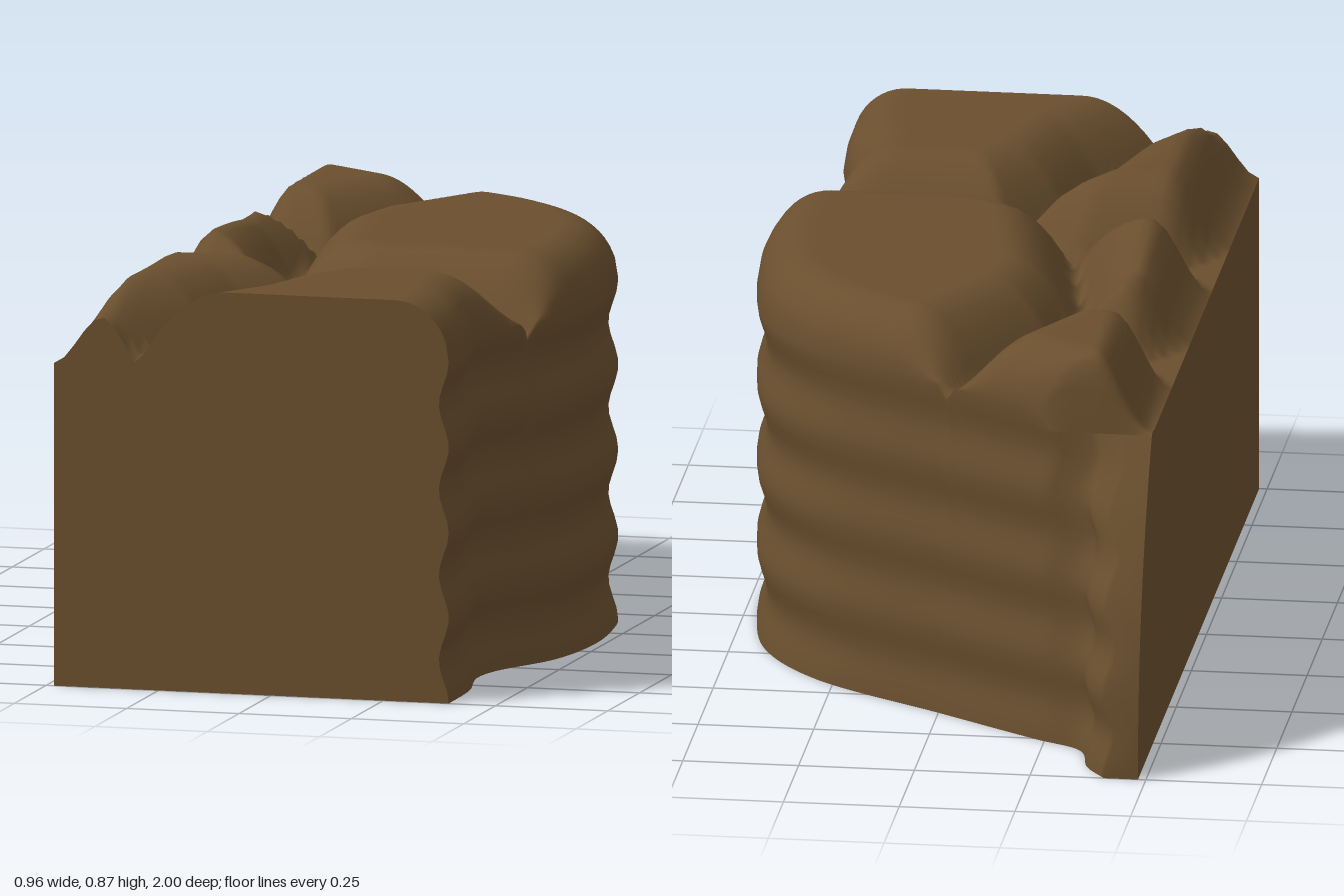
import * as THREE from 'three';

const LEFT = -0.483, TIP = -0.77, ROWS = 150, WALL = 30, TOP = 48;

// Plan outline of the weathered side, as (x, z) from the back tip to the front
const outline = new THREE.CatmullRomCurve3([
  [-0.42, -1], [-0.375, -0.93], [-0.345, -0.82], [-0.24, -0.755], [-0.02, -0.61], [0.28, -0.41],
  [0.41, -0.23], [0.46, 0], [0.468, 0.2], [0.44, 0.38], [0.365, 0.55], [0.35, 0.65],
  [0.38, 0.82], [0.385, 1],
].map(([x, z]) => new THREE.Vector3(x, 0, z)), false, 'centripetal');

// Cracks between the top boulders, as (x, z) polylines
const cracks = [
  [[0.03, -0.7], [-0.07, -0.55], [-0.22, -0.28], [-0.25, -0.1], [-0.17, 0.33], [-0.02, 0.44], [0.5, 0.45]],
  [[-0.02, 0.44], [-0.13, 0.62], [-0.18, 0.8], [-0.3, 1]],
  [[-0.5, -0.3], [-0.22, -0.28]],
  [[-0.5, 0.36], [-0.17, 0.33]],
];

function segmentDistance(x, z, [ax, az], [bx, bz]) {
  const dx = bx - ax, dz = bz - az;
  const t = THREE.MathUtils.clamp(((x - ax) * dx + (z - az) * dz) / (dx * dx + dz * dz), 0, 1);
  return Math.hypot(x - ax - t * dx, z - az - t * dz);
}

// Height of the boulder tops, lowered along the cracks and the left edge
function topHeight(x, z) {
  let d = 1;
  for (const line of cracks) {
    for (let i = 1; i < line.length; i++) d = Math.min(d, segmentDistance(x, z, line[i - 1], line[i]));
  }
  const crack = Math.max(0, 1 - d / 0.17) ** 2;
  const edge = 1 - THREE.MathUtils.smoothstep(x, LEFT, LEFT + 0.13);
  return 0.87 - 0.17 * Math.min(1, crack + edge);
}

// The back tip leans inward with height
function lean(z, y) {
  return z < TIP ? z + (TIP - z) * Math.min(1, (y / 0.7) ** 2.2) : z;
}

// One cross-section: up the rippled wall, then over the top to the left edge
function section(u, tip) {
  const p = outline.getPointAt(u), slope = Math.abs(outline.getTangentAt(u).z);
  const wallX = (y) => (tip ? LEFT : p.x + 0.011 * Math.cos(y * Math.PI * 2 / 0.185));
  const fromTip = Math.max(0, p.z - TIP);
  const yEdge = Math.min(0.74, topHeight(p.x, p.z), 0.7 + fromTip);
  const pts = [];
  for (let j = 0; j <= WALL; j++) {
    const y = yEdge * j / WALL;
    pts.push(new THREE.Vector3(wallX(y), y, lean(p.z, y)));
  }
  const x0 = wallX(yEdge), z = lean(p.z, yEdge);
  for (let j = 1; j <= TOP; j++) {
    const x = x0 + (LEFT - x0) * (j / TOP) ** 1.25;
    const d = Math.min((x0 - x) * slope, fromTip * 2.5);
    const round = Math.sqrt(1 - (1 - Math.min(1, d / 0.12)) ** 2);
    pts.push(new THREE.Vector3(x, yEdge + (topHeight(x, z) - yEdge) * round, z));
  }
  return pts;
}

export function createModel() {
  const group = new THREE.Group();
  const rock = new THREE.MeshStandardMaterial({ color: 0x6a4f2e, side: THREE.DoubleSide });
  rock.name = 'brownRock';
  const add = (geometry, name) => {
    const mesh = new THREE.Mesh(geometry, rock);
    mesh.name = name;
    group.add(mesh);
    return mesh;
  };

  const sections = [section(0, true)];
  for (let i = 0; i <= ROWS; i++) sections.push(section(i / ROWS, false));

  // Rippled wall and boulder tops in one smooth skin
  const n = WALL + TOP + 1, index = [];
  for (let i = 0; i < sections.length - 1; i++) {
    for (let j = 0; j < n - 1; j++) {
      const a = i * n + j, b = a + n;
      index.push(a, a + 1, b, a + 1, b + 1, b);
    }
  }
  const skin = new THREE.BufferGeometry().setFromPoints(sections.flat());
  skin.setIndex(index);
  skin.computeVertexNormals();
  add(skin, 'rockSurface');

  const flat = (points) => new THREE.ShapeGeometry(new THREE.Shape(points.map(([x, y]) => new THREE.Vector2(x, y))));

  // Flat front cut
  const front = sections[sections.length - 1].map((p) => [p.x, p.y]);
  add(flat([...front, [LEFT, 0]]), 'frontCut').position.z = 1;

  // Flat left cut, from the leaning tip along the top rim to the front
  const tipEdge = sections[0].slice(0, WALL).map((p) => [p.z, p.y]);
  const rim = sections.map((s) => s[n - 1]).filter((p) => p.z > TIP + 0.001).map((p) => [p.z, p.y]);
  const left = flat([...tipEdge, [TIP, 0.7], ...rim, [1, 0]]).rotateY(-Math.PI / 2);
  add(left, 'leftCut').position.x = LEFT;

  // Flat underside
  const base = sections.map((s) => [s[0].x, s[0].z]);
  add(flat([...base, [LEFT, 1]]).rotateX(Math.PI / 2), 'underside');

  return group;
}
